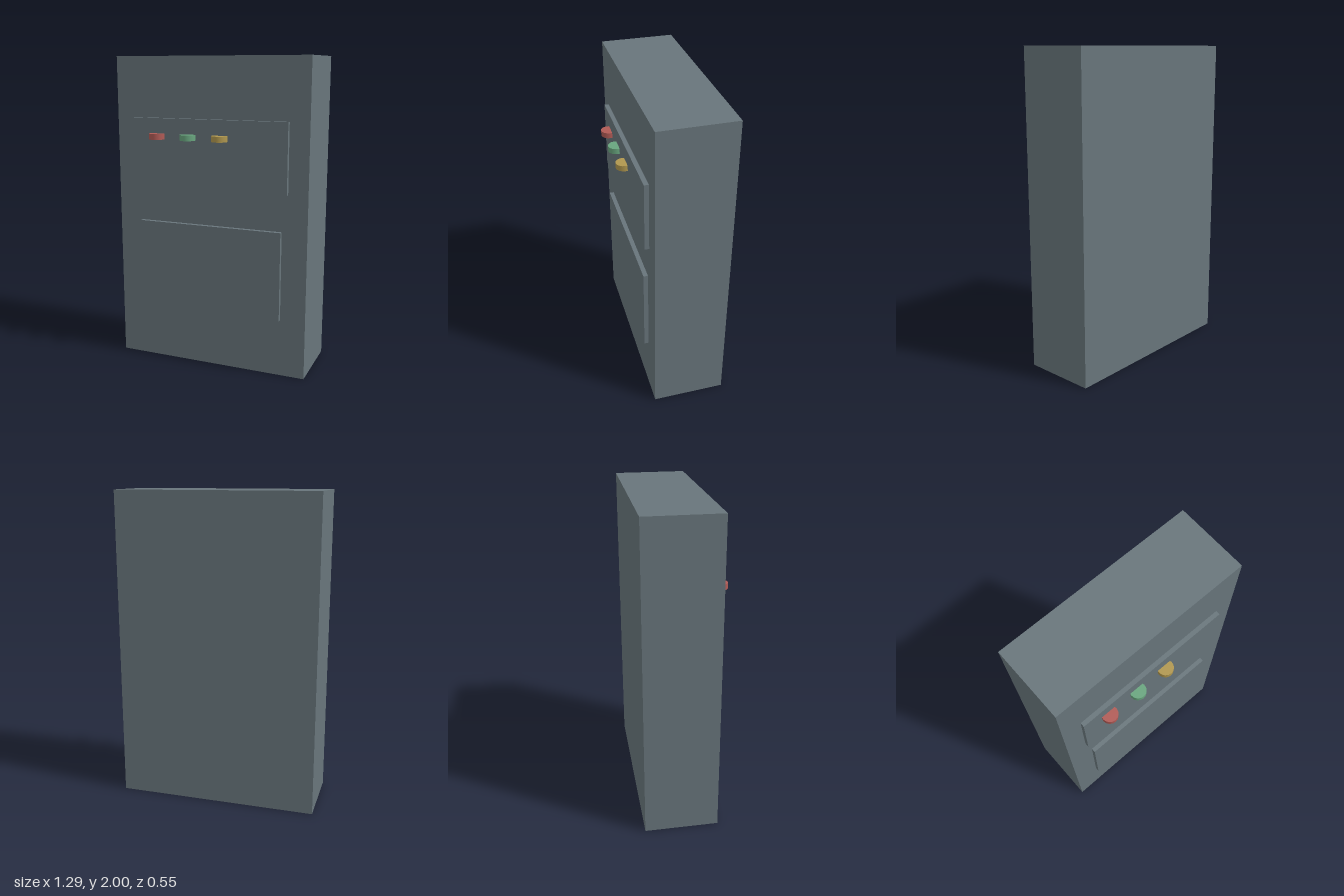
import * as THREE from 'three';

const paint = (name, color) => {
  const m = new THREE.MeshStandardMaterial({ color });
  m.name = name;
  return m;
};

export function createModel() {
  const model = new THREE.Group();
  model.name = 'controlCabinet';

  const slate = paint('slate grey', 0x68757b);
  const buttonPaints = [
    paint('muted red', 0xb05a55),
    paint('muted green', 0x68a57e),
    paint('muted yellow', 0xb0974e),
  ];

  const add = (name, geometry, material, x, y, z) => {
    const mesh = new THREE.Mesh(geometry, material);
    mesh.name = name;
    mesh.position.set(x, y, z);
    model.add(mesh);
  };

  // Cabinet
  const front = 0.187;
  const depth = 0.464;
  add('cabinetBody', new THREE.BoxGeometry(1.286, 2, depth), slate, 0, 1, front - depth / 2);

  // Raised front panels
  const thick = 0.028;
  const panelZ = front + thick / 2;
  add('upperPanel', new THREE.BoxGeometry(1.034, 0.44, thick), slate, 0, 1.396, panelZ);
  add('lowerPanel', new THREE.BoxGeometry(0.962, 0.57, thick), slate, 0, 0.658, panelZ);

  // Row of upright round buttons, partly sunk into the upper panel
  const button = new THREE.CylinderGeometry(0.05, 0.05, 0.036, 16);
  ['redButton', 'greenButton', 'yellowButton'].forEach((name, i) => {
    add(name, button, buttonPaints[i], -0.343 + i * 0.214, 1.502, 0.228);
  });

  return model;
}
